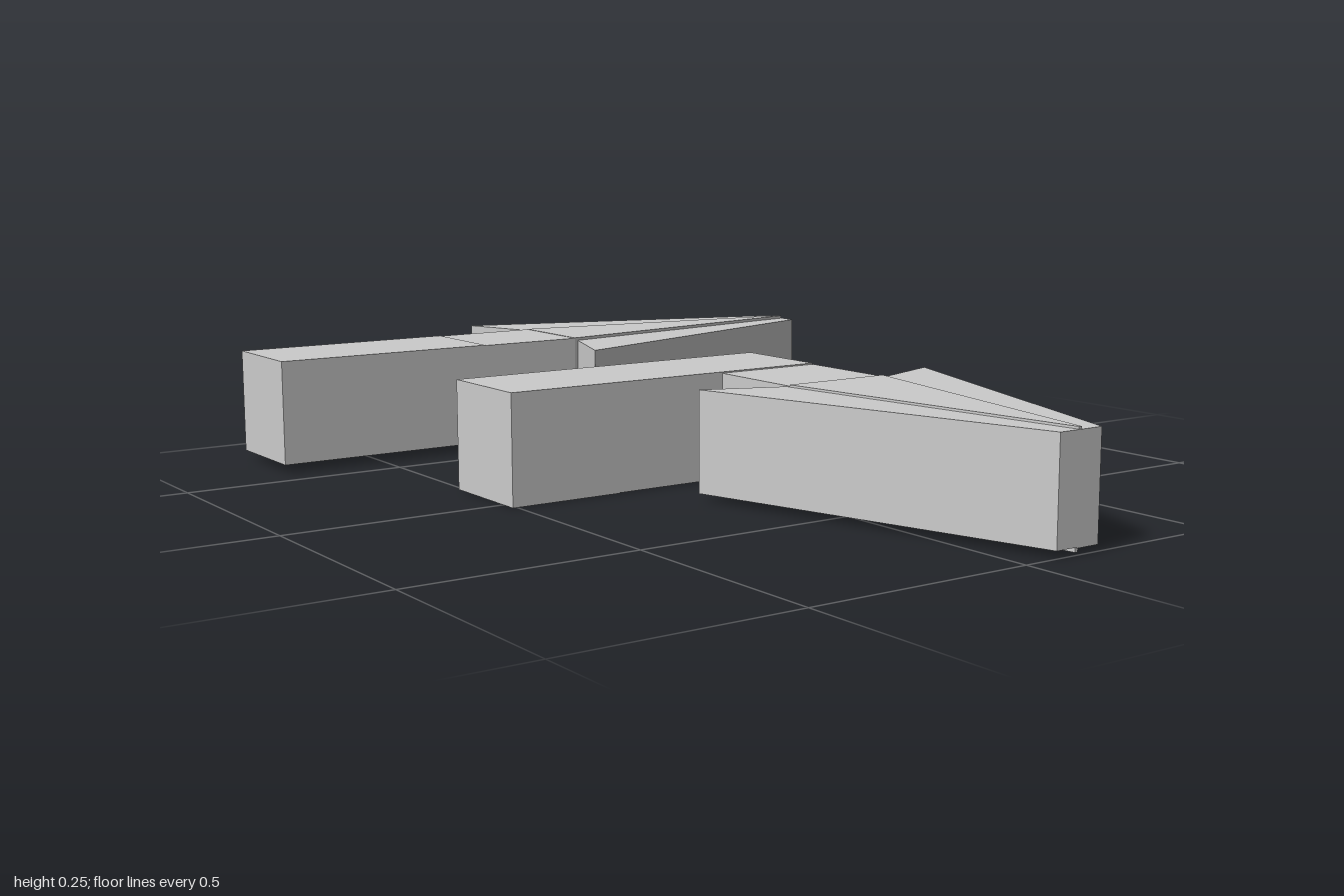
import * as THREE from 'three';

const material = new THREE.MeshStandardMaterial({ color: 0xcccccc, flatShading: true });

// Upright prism from a floor outline of [x, z] corners, between two heights
function prism(name, outline, bottom, top) {
  const shape = new THREE.Shape(outline.map(([x, z]) => new THREE.Vector2(x, -z)));
  const geometry = new THREE.ExtrudeGeometry(shape, { depth: top - bottom, bevelEnabled: false });
  geometry.rotateX(-Math.PI / 2).translate(0, bottom, 0);
  const mesh = new THREE.Mesh(geometry, material);
  mesh.name = name;
  return mesh;
}

const rect = (x0, x1, z0, z1) => [[x0, z0], [x1, z0], [x1, z1], [x0, z1]];

export function createModel() {
  const model = new THREE.Group();

  // Straight arrow pointing back
  const straight = new THREE.Group();
  straight.name = 'straightArrow';
  straight.add(
    prism('shaftLong', rect(-0.81, -0.577, 0.23, 0.745), 0.02, 0.255),
    prism('shaftShort', rect(-0.81, -0.577, -0.02, 0.23), 0.021, 0.254),
    prism('headCore', [[-0.81, -0.02], [-0.577, -0.02], [-0.685, -0.747], [-0.692, -0.747]], 0.02, 0.255),
    prism('headBarbRight', [[-1, 0.04], [-0.808, -0.03], [-0.69, -0.75], [-0.747, -0.75]], 0.025, 0.25),
    prism('headBarbLeft', [[-0.388, 0.04], [-0.58, -0.03], [-0.688, -0.75], [-0.64, -0.75]], 0.03, 0.248),
  );

  // Bent arrow: three blocks, then a turn to the left
  const bent = new THREE.Group();
  bent.name = 'bentArrow';
  const cuts = [0.51, 0.25, -0.013, -0.275];
  for (let i = 0; i < 3; i++) {
    bent.add(prism('shaftBlock' + (i + 1), rect(-0.195, 0.04, cuts[i + 1], cuts[i]), i * 0.001, 0.24));
  }
  bent.add(
    prism('neck', rect(0.04, 0.28, -0.278, -0.022), 0.005, 0.237),
    prism('headCore', [[0.28, -0.278], [0.28, -0.022], [0.998, -0.127], [0.998, -0.134]], 0.005, 0.24),
    prism('headBarbBack', [[0.213, -0.46], [0.285, -0.265], [1, -0.13], [1, -0.185]], 0.013, 0.235),
    prism('headBarbFront', [[0.2, 0.155], [0.272, -0.03], [1, -0.131], [1, -0.077]], 0.015, 0.235),
  );

  model.add(straight, bent);
  return model;
}
